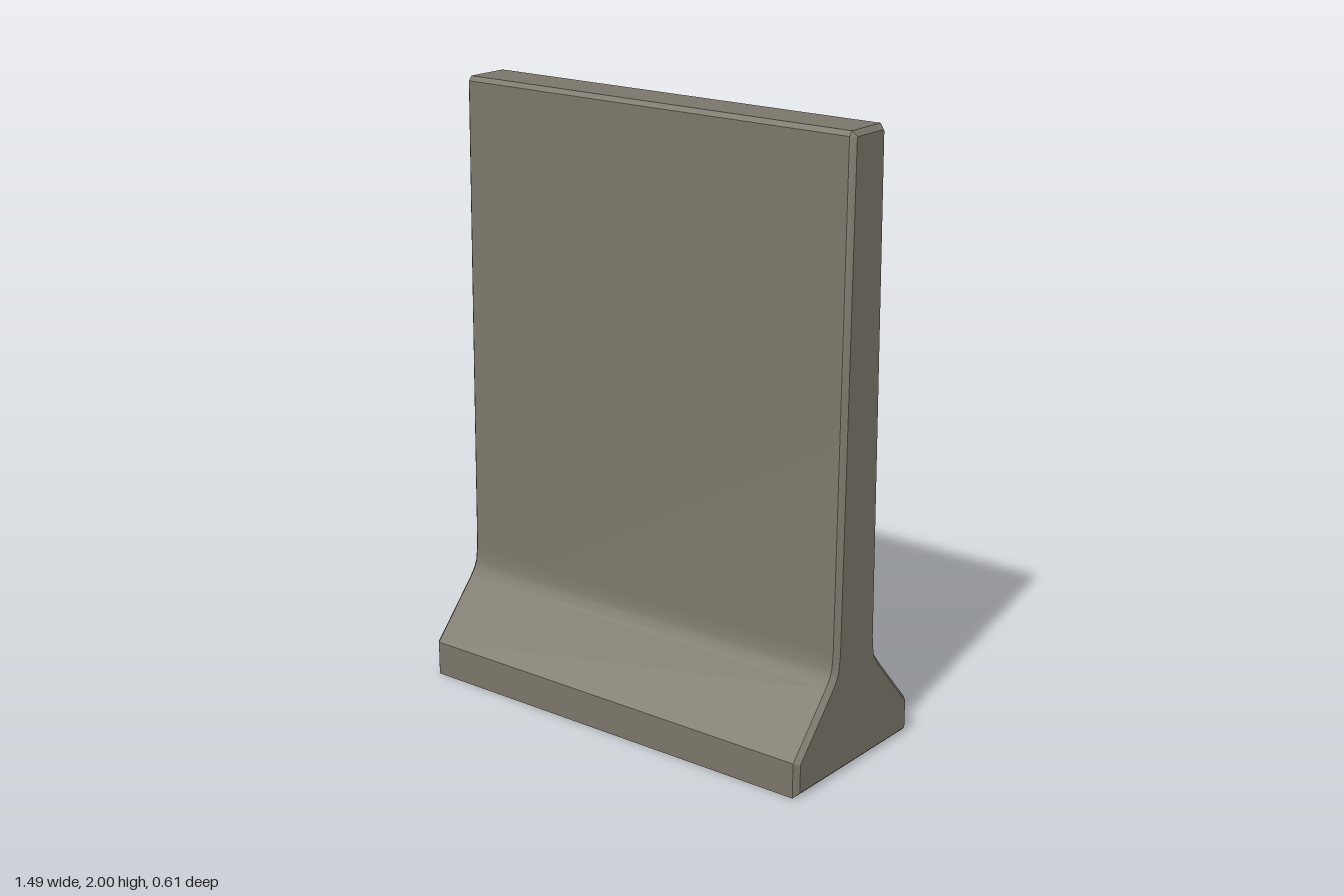
import * as THREE from 'three';
import { toCreasedNormals } from 'three/addons/utils/BufferGeometryUtils.js';

export function createModel() {
  const group = new THREE.Group();
  group.name = 'concreteBarrier';

  const concrete = new THREE.MeshStandardMaterial({ color: 0x7a766a });
  concrete.name = 'concrete';

  // Half of the cross-section, bottom to top: [half depth, height]
  const half = [
    [0.305, 0], [0.305, 0.115],
    [0.14, 0.3], [0.12, 0.327], [0.11, 0.35], [0.104, 0.4],
    [0.085, 1.985], [0.074, 2],
  ];
  const mirrored = half.map(([z, y]) => [-z, y]).reverse();
  const profile = new THREE.Shape([...half, ...mirrored].map(([z, y]) => new THREE.Vector2(z, y)));

  // Extruded along the width, with chamfered ends
  const halfWidth = 0.746;
  const chamfer = 0.016;
  const wall = new THREE.ExtrudeGeometry(profile, {
    depth: 2 * (halfWidth - chamfer),
    bevelEnabled: true,
    bevelSegments: 1,
    bevelSize: chamfer,
    bevelThickness: chamfer,
    bevelOffset: -chamfer,
  });
  wall.translate(0, 0, chamfer - halfWidth);
  wall.rotateY(Math.PI / 2);

  // Smooth foot curve, crisp edges elsewhere
  const barrier = new THREE.Mesh(toCreasedNormals(wall, 0.5), concrete);
  barrier.name = 'barrierWall';
  group.add(barrier);
  return group;
}
